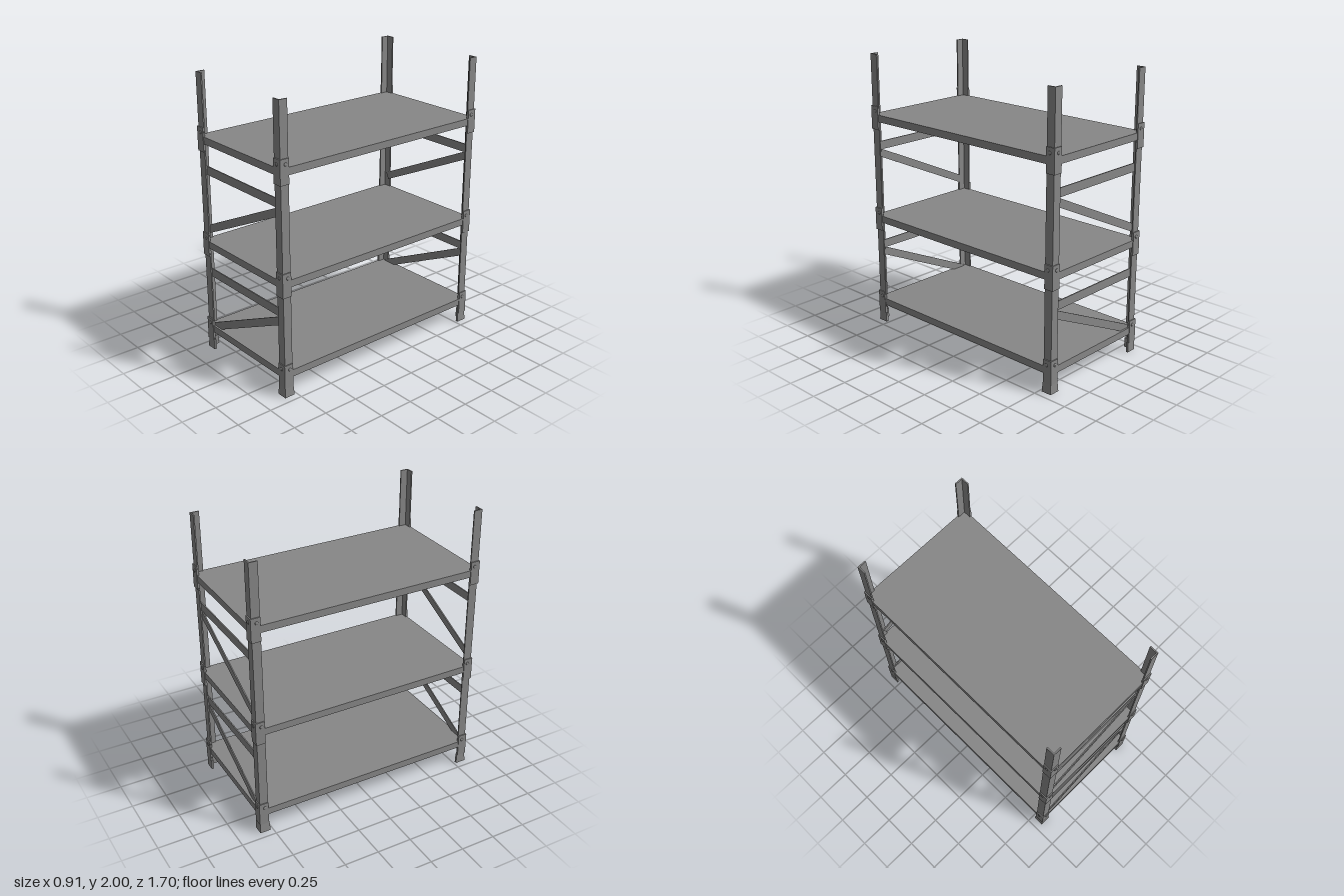
import * as THREE from 'three';

const X = 0.443, Z = 0.836; // outer faces of the posts
const mat = new THREE.MeshStandardMaterial({ color: 0x878787, flatShading: true });

function add(parent, name, geo, x = 0, y = 0, z = 0) {
  const m = new THREE.Mesh(geo, mat);
  m.name = name;
  m.position.set(x, y, z);
  parent.add(m);
  return m;
}
const box = (w, h, d) => new THREE.BoxGeometry(w, h, d);

// L-section standing from y0 to y1, its outer corner at (0, 0), legs running to -x and -z
function angle(leg, t, y0, y1) {
  const s = new THREE.Shape([[0, 0], [-leg, 0], [-leg, t], [-t, t], [-t, leg], [0, leg]]
    .map(([x, y]) => new THREE.Vector2(x, y)));
  const g = new THREE.ExtrudeGeometry(s, { depth: y1 - y0, bevelEnabled: false });
  g.rotateX(-Math.PI / 2);
  g.translate(0, y0, 0);
  return g;
}

// One corner: post, foot, connector plates and bolts (built for +x, +z)
function corner() {
  const g = new THREE.Group();
  add(g, 'post', angle(0.061, 0.009, 0.005, 2), X, 0, Z);

  // foot sleeve, flaring towards the ground
  const foot = angle(0.067, 0.015, 0, 0.07);
  const p = foot.attributes.position;
  for (let i = 0; i < p.count; i++) {
    if (p.getY(i) > 0.01) continue;
    p.setX(i, -0.033 + (p.getX(i) + 0.033) * 1.14);
    p.setZ(i, -0.033 + (p.getZ(i) + 0.033) * 1.14);
  }
  foot.computeVertexNormals();
  add(g, 'footSleeve', foot, X + 0.003, 0, Z + 0.003);

  for (const y of [0.2, 0.85, 1.6]) {
    add(g, 'connectorPlate', angle(0.067, 0.007, y - 0.132, y + 0.035), X + 0.007, 0, Z + 0.007);
    const bolt = new THREE.SphereGeometry(0.012, 12, 6, 0, Math.PI * 2, 0, Math.PI / 2);
    bolt.scale(1, 0.5, 1);
    add(g, 'bolt', bolt, X - 0.03, y, Z + 0.007).rotation.x = Math.PI / 2;
    add(g, 'bolt', bolt, X + 0.007, y, Z - 0.033).rotation.z = -Math.PI / 2;
  }
  return g;
}

// Shelf tray: thin deck with a turned-down rim
function shelf(top) {
  const g = new THREE.Group();
  const w = X + 0.003, d = Z + 0.003, h = 0.05, t = 0.01;
  add(g, 'shelfDeck', box(2 * w, 0.008, 2 * d), 0, top - 0.004, 0);
  for (const s of [-1, 1]) {
    add(g, 'shelfSideRim', box(t, h - 0.008, 2 * d), s * (w - t / 2), top - 0.029, 0);
    add(g, 'shelfEndRim', box(2 * (w - t), h - 0.008, t), 0, top - 0.029, s * (d - t / 2));
  }
  return g;
}

// End bracing: two horizontal bars, each with a diagonal below it
function bracing(z) {
  const g = new THREE.Group();
  const tilt = Math.atan(0.36 / 0.77);
  for (const y of [0.595, 1.34]) {
    add(g, 'crossBar', box(0.86, 0.06, 0.008), 0, y, z);
    add(g, 'diagonalBar', box(0.8 / Math.cos(tilt), 0.055, 0.008), 0, y - 0.24, z).rotation.z = tilt;
  }
  return g;
}

export function createModel() {
  const model = new THREE.Group();
  model.name = 'shelvingRack';

  // four corners, each mirrored into place
  for (const sx of [-1, 1]) for (const sz of [-1, 1]) {
    const c = corner();
    c.name = 'cornerPost';
    c.scale.set(sx, 1, sz);
    model.add(c);
  }
  for (const y of [0.185, 0.83, 1.575]) {
    const s = shelf(y);
    s.name = 'shelf';
    model.add(s);
  }
  for (const s of [-1, 1]) {
    const b = bracing(s * (Z - 0.014));
    b.name = 'endBracing';
    model.add(b);
  }
  return model;
}
